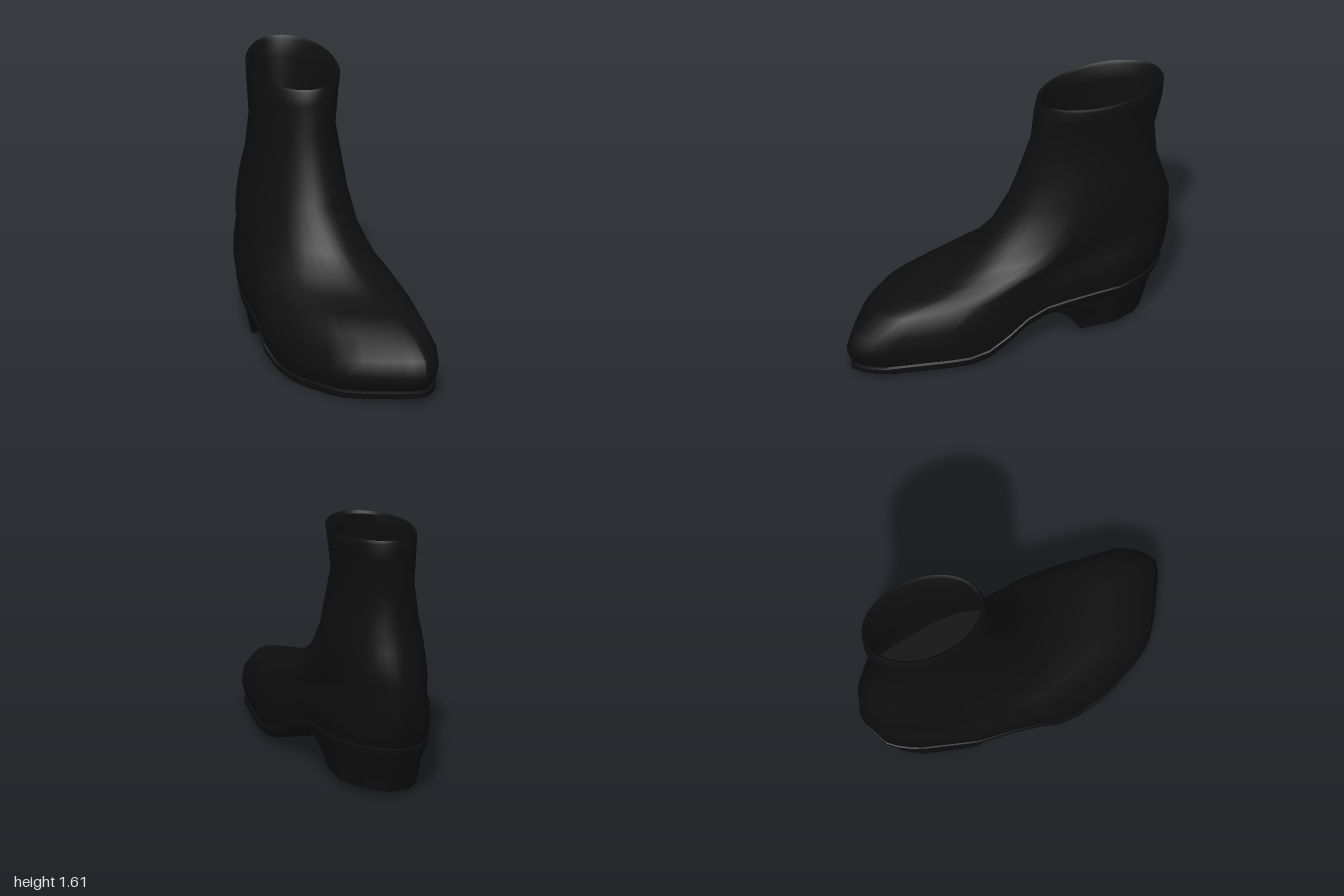
import * as THREE from 'three';
import { toCreasedNormals } from 'three/addons/utils/BufferGeometryUtils.js';

// Half outlines of the foot as [z, x], toe to heel
const OUTER = [[1, 0.22], [0.96, 0.28], [0.86, 0.35], [0.36, 0.42], [0.15, 0.39], [-0.2, 0.31],
  [-0.67, 0.29], [-0.86, 0.2], [-0.94, 0.11], [-1, 0.01]];
const INNER = [[1, 0.22], [0.99, 0.17], [0.94, 0.08], [0.79, -0.16], [0.71, -0.23], [0.41, -0.36],
  [0.08, -0.42], [-0.45, -0.36], [-0.8, -0.25], [-0.94, -0.16], [-1, 0]];
// Height of the welt along the foot as [z, y]
const ARCH = [[1, 0.08], [0.28, 0.085], [0.15, 0.11], [0.08, 0.155], [-0.04, 0.235],
  [-0.2, 0.28], [-0.45, 0.305], [-1, 0.345]];
// Upper, bottom to top: zFront, yFront, zBack, yBack, left extent, right extent
const UPPER = [
  [0.95, 0.08, -0.94, 0.34, 0.40, 0.40],
  [0.985, 0.12, -0.96, 0.37, 0.415, 0.408],
  [1.0, 0.17, -0.98, 0.44, 0.42, 0.418],
  [0.97, 0.26, -0.99, 0.50, 0.412, 0.415],
  [0.85, 0.37, -1.0, 0.56, 0.38, 0.385],
  [0.62, 0.43, -1.0, 0.62, 0.35, 0.355],
  [0.44, 0.475, -1.0, 0.66, 0.335, 0.335],
  [0.28, 0.54, -1.0, 0.72, 0.32, 0.32],
  [0.12, 0.66, -1.0, 0.78, 0.295, 0.30],
  [-0.04, 0.87, -0.96, 0.92, 0.265, 0.285],
  [-0.11, 1.06, -0.92, 1.05, 0.235, 0.265],
  [-0.175, 1.26, -0.905, 1.26, 0.205, 0.24],
  [-0.19, 1.45, -0.95, 1.48, 0.207, 0.27],
  [-0.205, 1.53, -0.955, 1.585, 0.21, 0.288],
];

const N = 48, TILT = 0.06;
const { lerp, clamp } = THREE.MathUtils;

function sample(table, z) {
  let i = 1;
  while (i < table.length - 1 && z < table[i][0]) i++;
  const [z0, v0] = table[i - 1], [z1, v1] = table[i];
  return lerp(v0, v1, clamp((z0 - z) / (z0 - z1), 0, 1));
}

// Skin a stack of rings; ends are closed with strips running across
function loft(rings, crease) {
  const M = rings[0].length, index = [];
  const quad = (a, b, c, d) => index.push(a, b, c, a, c, d);
  for (let i = 0; i < rings.length - 1; i++) {
    for (let j = 0; j < M; j++) {
      const k = (j + 1) % M;
      quad(i * M + j, i * M + k, (i + 1) * M + k, (i + 1) * M + j);
    }
  }
  const top = (rings.length - 1) * M;
  for (let j = 0; j < M / 2 - 1; j++) {
    quad(M - 1 - j, M - 2 - j, j + 1, j);
    quad(top + j, top + j + 1, top + M - 2 - j, top + M - 1 - j);
  }
  const geo = new THREE.BufferGeometry();
  geo.setAttribute('position', new THREE.Float32BufferAttribute(rings.flat(2), 3));
  geo.setIndex(index);
  return toCreasedNormals(geo, crease);
}

// Closed ring from a point rule given the angle and the position from back (0) to front (1)
function makeRing(point) {
  return Array.from({ length: N }, (_, j) => {
    const a = (j + 0.5) * 2 * Math.PI / N;
    const [x, y, z] = point(a, 0.5 + 0.5 * Math.cos(a));
    return [x, y + TILT * x, z];
  });
}

const footX = (a, u) => sample(a < Math.PI ? OUTER : INNER, 2 * u - 1);

// Ring that turns from the arched foot outline low down to an ellipse at the ankle
function upperRing([zf, yf, zb, yb, left, right]) {
  const bend = clamp(1.3 - 2.8 * yf, 0, 1), round = clamp((yf - 0.35) / 0.45, 0, 1);
  return makeRing((a, u) => {
    const foot = footX(a, u) * (a < Math.PI ? right : left) / 0.42;
    const oval = (right - left) / 2 + (right + left) / 2 * Math.sin(a);
    const z = lerp(zb, zf, u);
    const y = lerp(yb, yf, u) + bend * (sample(ARCH, z) - lerp(0.345, 0.08, u));
    return [lerp(foot, oval, round), y, z];
  });
}

// Ring that follows the welt, lowered by drop
function soleRing([scale, drop]) {
  return makeRing((a, u) => {
    const z = lerp(0.02 - scale, scale, u);
    return [footX(a, u) * scale, sample(ARCH, z) - drop, z];
  });
}

// D-shaped ring with a straight front edge
function heelRing([zf, zb, y, scale, rise]) {
  return Array.from({ length: N }, (_, j) => {
    const t = j / (N - 1), v = Math.sin(Math.PI * t);
    const x = sample(t < 0.5 ? OUTER : INNER, lerp(zf, -1, v)) * scale;
    return [x, y + rise * v + TILT * x, lerp(zf, zb, v)];
  });
}

export function createModel() {
  const group = new THREE.Group();
  const black = new THREE.MeshStandardMaterial({ color: 0x0e0e0e });
  black.name = 'black leather';
  const add = (name, geo) => {
    const mesh = new THREE.Mesh(geo, black);
    mesh.name = name;
    group.add(mesh);
  };

  // Upper, with a rolled rim and a lining that runs back down inside the shaft
  const rim = [-0.215, 1.545, -0.945, 1.605, 0.20, 0.28];
  const lining = UPPER.slice(8).reverse().map(([zf, yf, zb, yb, left, right]) =>
    [zf - 0.025, yf, zb + 0.025, yb, left - 0.025, right - 0.025]);
  add('upper', loft([...UPPER, rim, ...lining].map(upperRing), 0.9));

  // Sole plate: scale, drop below the welt
  add('sole', loft([[0.92, 0.06], [0.97, 0.04], [0.975, 0.01], [0.95, 0]].map(soleRing), 0.7));

  // Heel: zFront, zBack, y, scale, rise to the back
  add('heel', loft([
    [-0.40, -0.84, 0.042, 0.78, 0],
    [-0.32, -0.885, 0.155, 0.86, 0.03],
    [-0.25, -0.92, 0.21, 0.92, 0.06],
    [-0.18, -0.94, 0.25, 0.94, 0.07],
  ].map(heelRing), 0.7));

  return group;
}
